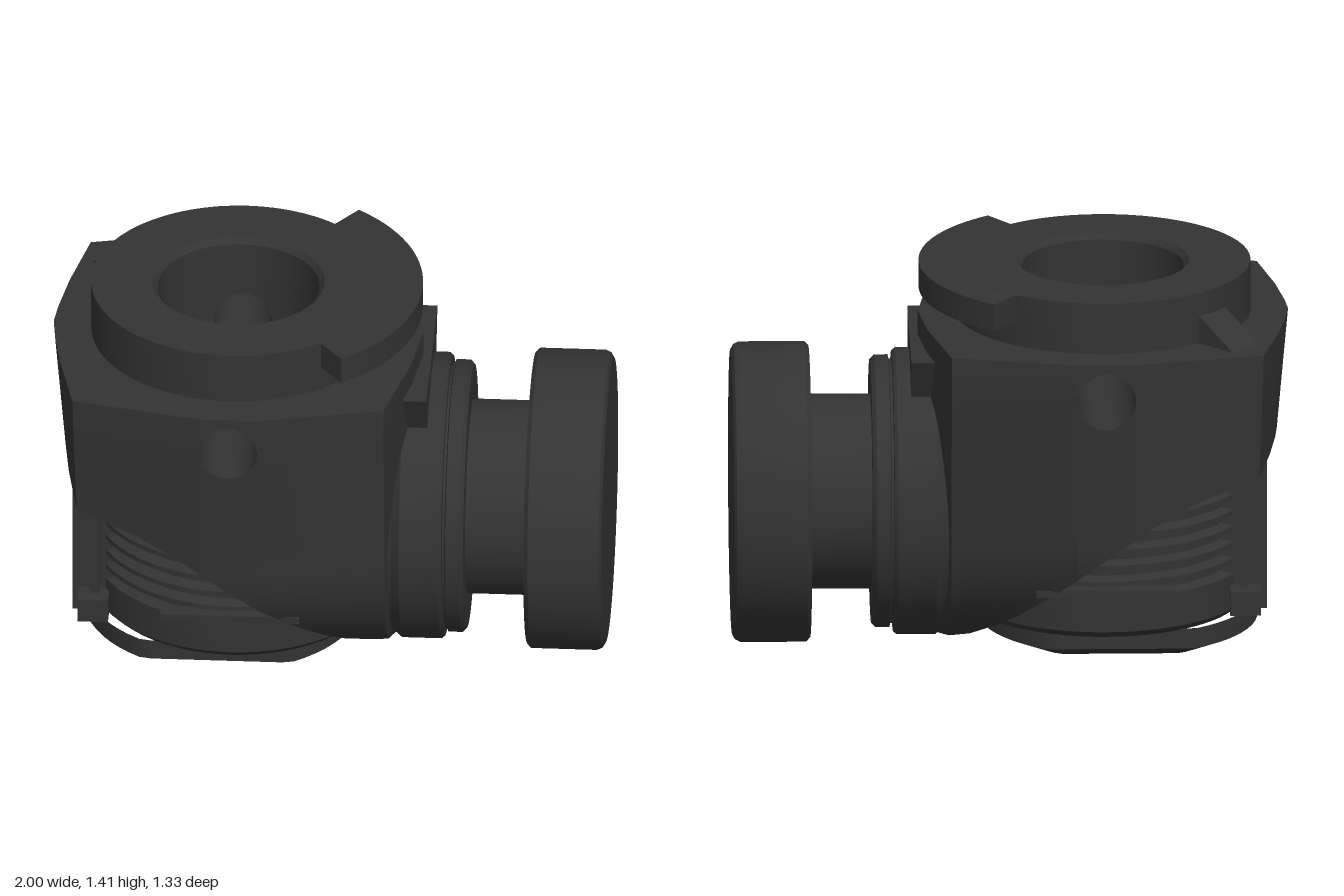
import * as THREE from 'three';
import { toCreasedNormals } from 'three/addons/utils/BufferGeometryUtils.js';

const CX = -0.335, HOLE_Y = 1.08, HOLE_R = 0.105, BORE_R = 0.29, TOP = 1.22, NECK_Y = 0.542;
const mat = new THREE.MeshStandardMaterial({ color: 0x333333 });
const skin = new THREE.MeshStandardMaterial({ color: 0x333333, side: THREE.DoubleSide });

// piecewise linear lookup
function lerpTable(t, x) {
  for (let i = 1; i < t.length; i++) {
    if (x <= t[i][0]) {
      const [x0, y0] = t[i - 1], [x1, y1] = t[i];
      return y0 + (y1 - y0) * (Math.max(x, x0) - x0) / (x1 - x0);
    }
  }
  return t[t.length - 1][1];
}
// surface over an (i, j) lattice
function grid(nu, nv, fn) {
  const pos = [], idx = [];
  for (let i = 0; i <= nu; i++) for (let j = 0; j <= nv; j++) pos.push(...fn(i, j));
  for (let i = 0; i < nu; i++) for (let j = 0; j < nv; j++) {
    const a = i * (nv + 1) + j, b = a + nv + 1;
    idx.push(a, b, b + 1, a, b + 1, a + 1);
  }
  const g = new THREE.BufferGeometry();
  g.setAttribute('position', new THREE.Float32BufferAttribute(pos, 3));
  g.setIndex(idx);
  return g;
}
function lathe(points, segments = 64) {
  return new THREE.LatheGeometry(points.map(p => new THREE.Vector2(p[0], p[1])), segments);
}

// body outline in plan, lower edge, and side taper
const planZ = x => lerpTable([[-1, 0], [-0.99, 0.1], [-0.96, 0.29], [-0.9, 0.56], [-0.44, 0.663],
  [-0.23, 0.663], [0.22, 0.565], [0.3, 0.23], [0.33, 0]], x);
const lowY = x => lerpTable([[-1, 0.77], [-0.9, 0.75], [-0.8, 0.725], [-0.65, 0.665], [-0.5, 0.585],
  [-0.3, 0.44], [0, 0.19], [0.22, 0.035], [0.33, 0.03]], x);
const taper = y => y > 0.55 ? 0.93 + 0.07 * Math.min(1, (y - 0.55) / 0.55)
  : 0.93 * Math.sqrt(Math.max(0, 1 - ((0.55 - y) / 0.53) ** 2));
const bodyPoint = (x, y, s) => [x + Math.max(0, -0.85 - x) * 0.6 * (TOP - y), y, s * planZ(x) * taper(y)];
const holeArc = x => Math.sqrt(Math.max(0, HOLE_R ** 2 - (x - CX) ** 2));

export function createModel() {
  const root = new THREE.Group();
  const add = (name, geo, material = mat, parent = root) => {
    const m = new THREE.Mesh(toCreasedNormals(geo, 0.5), material);
    m.name = name;
    parent.add(m);
    return m;
  };

  // housing walls, with the cross hole left open
  const body = new THREE.Group();
  body.name = 'housing';
  root.add(body);
  const left = [-1, -0.99, -0.96, -0.9, -0.8, -0.72, -0.65, -0.57, -0.5, CX - HOLE_R];
  const middle = Array.from({ length: 17 }, (_, i) => CX - HOLE_R * Math.cos(Math.PI * i / 16));
  const right = [CX + HOLE_R, -0.15, -0.07, 0, 0.07, 0.15, 0.22, 0.26, 0.3, 0.33];
  for (const s of [1, -1]) {
    const wall = (xs, lo, hi) => {
      const cols = s > 0 ? xs : [...xs].reverse();
      add('housingWall', grid(cols.length - 1, 18, (i, j) => {
        const x = cols[i], a = lo(x), b = hi(x);
        return bodyPoint(x, a + (b - a) * j / 18, s);
      }), skin, body);
    };
    wall(left, lowY, () => TOP);
    wall(middle, lowY, x => HOLE_Y - holeArc(x));
    wall(middle, x => HOLE_Y + holeArc(x), () => TOP);
    wall(right, lowY, () => TOP);
  }
  const all = [...left, ...middle.slice(1, -1), ...right];
  add('housingUnderside', grid(all.length - 1, 1, (i, j) => bodyPoint(all[i], lowY(all[i]), j ? 1 : -1)), skin, body);

  // flat top of the housing
  const outline = all.map(x => new THREE.Vector2(x, planZ(x)));
  const topShape = new THREE.Shape([...outline, ...outline.slice(1, -1).reverse().map(p => new THREE.Vector2(p.x, -p.y))]);
  topShape.holes.push(new THREE.Path().absarc(CX, 0, BORE_R, 0, Math.PI * 2, true));
  add('housingTop', new THREE.ShapeGeometry(topShape, 32).rotateX(-Math.PI / 2).translate(0, TOP, 0), skin, body);

  // vertical bore, stopping at the cross hole
  add('boreWall', grid(96, 1, (i, j) => {
    const a = Math.PI * 2 * i / 96, x = CX + BORE_R * Math.cos(a);
    return [x, j ? 1.39 : HOLE_Y + holeArc(x), BORE_R * Math.sin(a)];
  }), skin);
  const a = Math.acos(HOLE_R / BORE_R);
  for (const t of [0, Math.PI]) {
    const seg = new THREE.Shape().absarc(0, 0, BORE_R, t - a, t + a, false);
    add('boreFloor', new THREE.ShapeGeometry(seg, 24).rotateX(-Math.PI / 2).translate(CX, HOLE_Y, 0), skin);
  }
  // cross hole lining: full lower half, upper half only outside the bore
  const lining = (z0, z1, start) => add('crossHole', grid(16, 1, (i, j) => {
    const t = start + Math.PI * i / 16;
    return [CX + HOLE_R * Math.cos(t), HOLE_Y + HOLE_R * Math.sin(t), j ? z1 : z0];
  }), skin);
  lining(-0.66, 0.66, Math.PI);
  lining(0.28, 0.66, 0);
  lining(-0.66, -0.28, 0);

  // top collar and its locking lug
  add('topCollar', lathe([[0.53, TOP], [0.53, 1.41], [0.31, 1.41], [BORE_R, 1.385]])).position.x = CX;
  const lugA = 0.92;
  const lug = new THREE.Shape();
  lug.absarc(0, 0, 0.662, -lugA, lugA, false);
  lug.absarc(0, 0, 0.5, lugA, -lugA, true);
  add('lockingLug', new THREE.ExtrudeGeometry(lug, { depth: 0.1, bevelEnabled: false, curveSegments: 24 })
    .rotateX(-Math.PI / 2).translate(CX, 1.309, 0));

  // small ramp on the back corner of the top
  const ramp = new THREE.Shape([[0.5, TOP], [0.69, TOP], [0.5, 1.34]].map(p => new THREE.Vector2(...p)));
  const rampMesh = add('collarRamp', new THREE.ExtrudeGeometry(ramp, { depth: 0.14, bevelEnabled: false }).translate(0, 0, -0.07));
  rampMesh.position.x = CX;
  rampMesh.rotation.y = Math.PI * 0.76;

  // ribbed lower barrel
  const profile = [[0, 0.145], [0.5, 0.145], [0.525, 0.17], [0.525, 0.3]];
  for (let i = 0; i < 7; i++) {
    const y = 0.3 + i * 0.06;
    profile.push([0.485, y + 0.012], [0.485, y + 0.034], [0.525, y + 0.042], [0.525, y + 0.06]);
  }
  profile.push([0.525, 0.78]);
  add('ribbedBarrel', lathe(profile), skin).position.x = CX;

  // flat sided foot with a chamfered base
  const foot = lathe([[0, 0.018], [0.37, 0.018], [0.5, 0.075], [0.5, 0.15]]);
  const p = foot.attributes.position;
  for (let i = 0; i < p.count; i++) {
    const lim = p.getY(i) < 0.05 ? 0.3 : 0.425;
    p.setZ(i, THREE.MathUtils.clamp(p.getZ(i), -lim, lim));
  }
  add('foot', foot).position.x = -0.39;

  // flat end pad with side stops
  add('endPad', new THREE.BoxGeometry(0.16, 0.58, 0.5).translate(-0.838, 0.46, 0));
  for (const s of [1, -1]) {
    add('padStop', new THREE.BoxGeometry(0.11, 0.09, 0.12).translate(-0.84, 0.215, s * 0.28));
    add('padEdge', new THREE.BoxGeometry(0.03, 0.5, 0.06).translate(-0.835, 0.48, s * 0.26));
    add('sideNub', new THREE.BoxGeometry(0.5, 0.025, 0.06).translate(CX, 0.32, s * 0.515));
  }

  // horizontal neck, shaft and knob
  const turned = (name, pts) => {
    const m = add(name, lathe(pts));
    m.rotation.z = -Math.PI / 2;
    m.position.y = NECK_Y;
  };
  turned('neck', [[0, 0.09], [0.485, 0.09], [0.49, 0.24], [0.515, 0.27], [0.515, 0.41], [0.505, 0.422],
    [0.475, 0.424], [0.475, 0.432], [0.49, 0.436], [0.49, 0.485], [0.475, 0.5], [0, 0.5]]);
  turned('shaft', [[0.35, 0.49], [0.35, 0.73]]);
  turned('knob', [[0, 0.72], [0.525, 0.72], [0.54, 0.735], [0.54, 0.97], [0.53, 0.99], [0.512, 1], [0, 1]]);

  // gusset between housing and neck
  const gusset = new THREE.Shape([[-0.34, 1.13], [-0.27, 0.98], [0.27, 0.98], [0.34, 1.13]].map(q => new THREE.Vector2(...q)));
  add('neckGusset', new THREE.ExtrudeGeometry(gusset, { depth: 0.12, bevelEnabled: false })
    .rotateY(Math.PI / 2).translate(0.24, 0, 0));
  return root;
}
